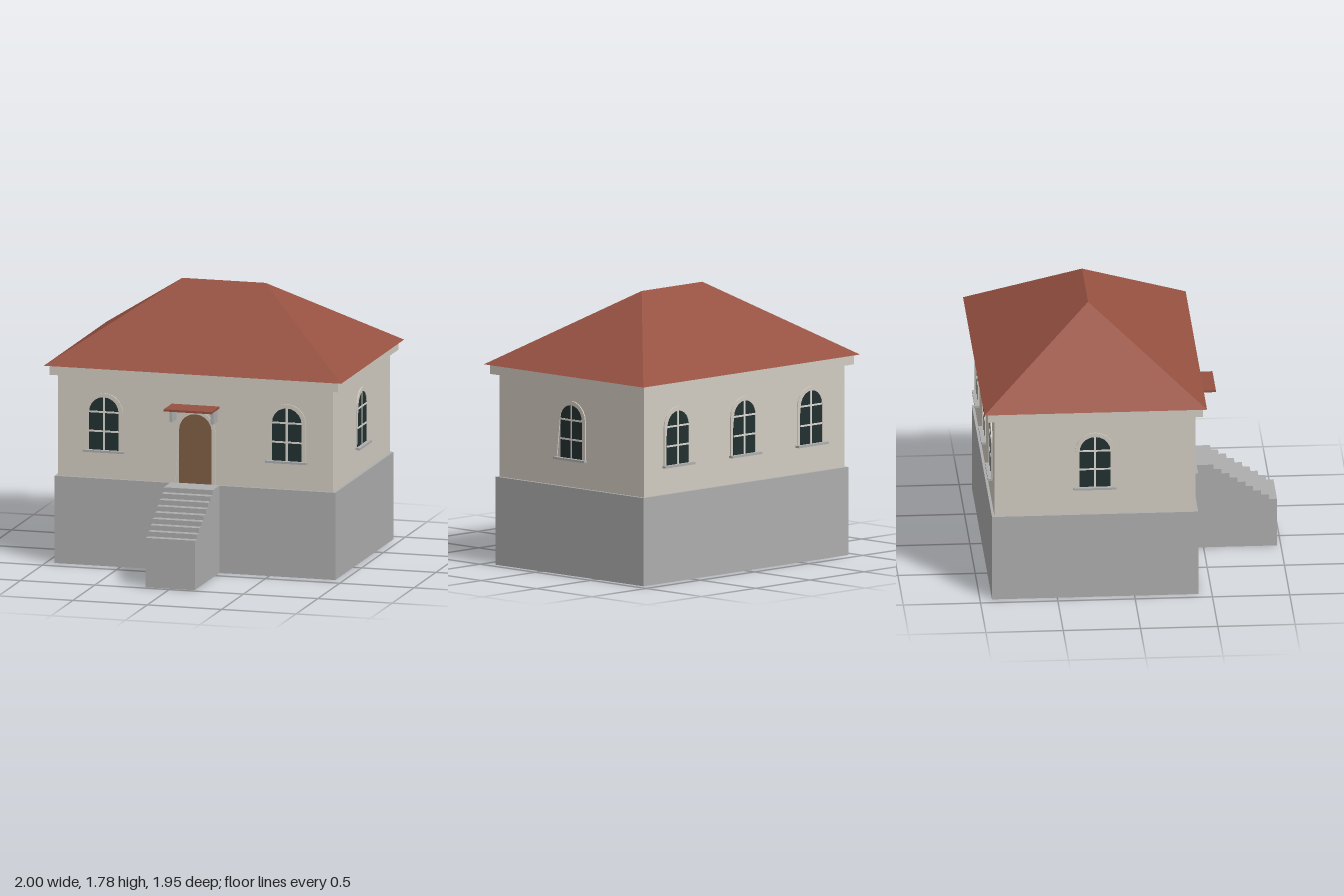
import * as THREE from 'three';

const material = (name, color) => {
  const m = new THREE.MeshStandardMaterial({ color, flatShading: true });
  m.name = name;
  return m;
};

export function createModel() {
  const plaster = material('plaster', 0xd2ccc1);
  const stone = material('stone', 0xadadad);
  const roofTile = material('roofTile', 0x965141);
  const glass = material('glass', 0x223030);
  const wood = material('wood', 0x7f5f46);
  const frameWhite = material('frameWhite', 0xdad7d1);
  const stoneShell = material('stoneShell', 0xadadad);
  stoneShell.side = THREE.DoubleSide;

  const house = new THREE.Group();
  house.name = 'house';
  const CZ = -0.255; // centre of the building in z
  const WX = 0.925, WZ = 0.65; // half sizes of the walls

  const add = (parent, name, geometry, mat) => {
    const mesh = new THREE.Mesh(geometry, mat);
    mesh.name = name;
    parent.add(mesh);
    return mesh;
  };
  // Box given by its limits on each axis
  const box = (parent, name, mat, x0, x1, y0, y1, z0, z1) => {
    const g = new THREE.BoxGeometry(x1 - x0, y1 - y0, z1 - z0);
    g.translate((x0 + x1) / 2, (y0 + y1) / 2, (z0 + z1) / 2);
    return add(parent, name, g, mat);
  };

  // Foundation, open underneath
  const base = box(house, 'foundation', stoneShell, -0.945, 0.945, 0, 0.575, CZ - 0.667, CZ + 0.667);
  const faces = Array.from(base.geometry.index.array);
  faces.splice(18, 6);
  base.geometry.setIndex(faces);
  base.geometry.clearGroups();

  // Walls and cornice
  box(house, 'walls', plaster, -WX, WX, 0.575, 1.26, CZ - WZ, CZ + WZ);
  box(house, 'cornice', plaster, -0.97, 0.97, 1.245, 1.308, CZ - 0.695, CZ + 0.695);

  // Hipped roof: four eave corners and two ridge ends
  const y0 = 1.308, y1 = 1.785, rx = 1, rz = 0.72, ridge = 0.28;
  const roofGeometry = new THREE.BufferGeometry();
  roofGeometry.setAttribute('position', new THREE.Float32BufferAttribute([
    -rx, y0, CZ + rz, rx, y0, CZ + rz, rx, y0, CZ - rz, -rx, y0, CZ - rz,
    -ridge, y1, CZ, ridge, y1, CZ,
  ], 3));
  roofGeometry.setIndex([0, 1, 5, 0, 5, 4, 1, 2, 5, 2, 3, 4, 2, 4, 5, 3, 0, 4, 0, 3, 2, 0, 2, 1]);
  const roof = roofGeometry.toNonIndexed();
  roof.computeVertexNormals();
  add(house, 'roof', roof, roofTile);

  // Outline with a round arch on top
  const arch = (r, bottom, spring, Type = THREE.Shape) => {
    const s = new Type();
    s.moveTo(-r, bottom);
    s.lineTo(r, bottom);
    for (let i = 0; i <= 10; i++) {
      const a = (i / 10) * Math.PI;
      s.lineTo(r * Math.cos(a), spring + r * Math.sin(a));
    }
    s.closePath();
    return s;
  };
  const plate = (shape, depth) => new THREE.ExtrudeGeometry(shape, { depth, bevelEnabled: false });
  // Arched surround, open at the foot
  const surround = (ro, ri, bottom, spring) => {
    const s = new THREE.Shape();
    s.moveTo(ri, bottom);
    for (let i = 0; i <= 10; i++) {
      const a = (i / 10) * Math.PI;
      s.lineTo(ro * Math.cos(a), spring + ro * Math.sin(a));
      if (i === 0) s.currentPoint.set(ro, spring);
    }
    s.lineTo(-ro, bottom);
    for (let i = 10; i >= 0; i--) {
      const a = (i / 10) * Math.PI;
      s.lineTo(ri * Math.cos(a), spring + ri * Math.sin(a));
    }
    return s;
  };
  // Surround with its outer foot squared off
  const frame = (ro, ri, bottom, spring) => {
    const s = surround(ro, ri, bottom, spring);
    const pts = s.getPoints();
    pts.splice(1, 0, new THREE.Vector2(ro, bottom));
    return new THREE.Shape(pts);
  };

  // Arched window built facing +z, then turned to its wall
  const addWindow = (name, x, z, turn) => {
    const w = new THREE.Group();
    w.name = name;
    add(w, 'pane', plate(arch(0.1, 0.76, 1.01), 0.003), glass);
    add(w, 'windowSurround', plate(frame(0.128, 0.1, 0.76, 1.01), 0.008), plaster);
    box(w, 'mullion', frameWhite, -0.007, 0.007, 0.76, 1.11, 0, 0.006);
    for (const y of [0.885, 1.012]) box(w, 'glazingBar', frameWhite, -0.1, 0.1, y - 0.006, y + 0.006, 0, 0.006);
    box(w, 'windowSill', stone, -0.138, 0.138, 0.748, 0.762, 0, 0.03);
    w.position.set(x, 0, z);
    w.rotation.y = turn;
    house.add(w);
  };
  for (const x of [-0.615, 0.615]) addWindow('frontWindow', x, CZ + WZ, 0);
  for (const x of [-0.615, 0, 0.615]) addWindow('backWindow', x, CZ - WZ, Math.PI);
  for (const side of [-1, 1]) addWindow('sideWindow', side * WX, CZ, side * Math.PI / 2);

  // Entrance: arched door, canopy and brackets
  const entrance = new THREE.Group();
  entrance.name = 'entrance';
  entrance.position.z = CZ + WZ;
  house.add(entrance);
  add(entrance, 'door', plate(arch(0.11, 0.575, 0.925), 0.004), wood);
  add(entrance, 'doorSurround', plate(frame(0.134, 0.11, 0.575, 0.925), 0.008), plaster);
  box(entrance, 'canopy', roofTile, -0.16, 0.16, 1.08, 1.094, 0, 0.185);
  for (const x of [-0.138, 0.138]) box(entrance, 'canopyBracket', stone, x - 0.009, x + 0.009, 0.992, 1.08, 0, 0.095);

  // Stairs: stepped side profile extruded across the width
  const profile = new THREE.Shape();
  const back = 0.4, front = 0.975, tread = 0.0513, rise = 0.0313;
  profile.moveTo(back, 0);
  profile.lineTo(front, 0);
  for (let i = 0; i <= 8; i++) {
    const y = 0.3256 + i * rise;
    profile.lineTo(front - i * tread, y);
    profile.lineTo(i < 8 ? front - (i + 1) * tread : back, y);
  }
  profile.closePath();
  const stairs = plate(profile, 0.33);
  stairs.rotateY(-Math.PI / 2);
  stairs.translate(0.165, 0.0005, 0);
  add(house, 'stairs', stairs, stone);

  return house;
}
